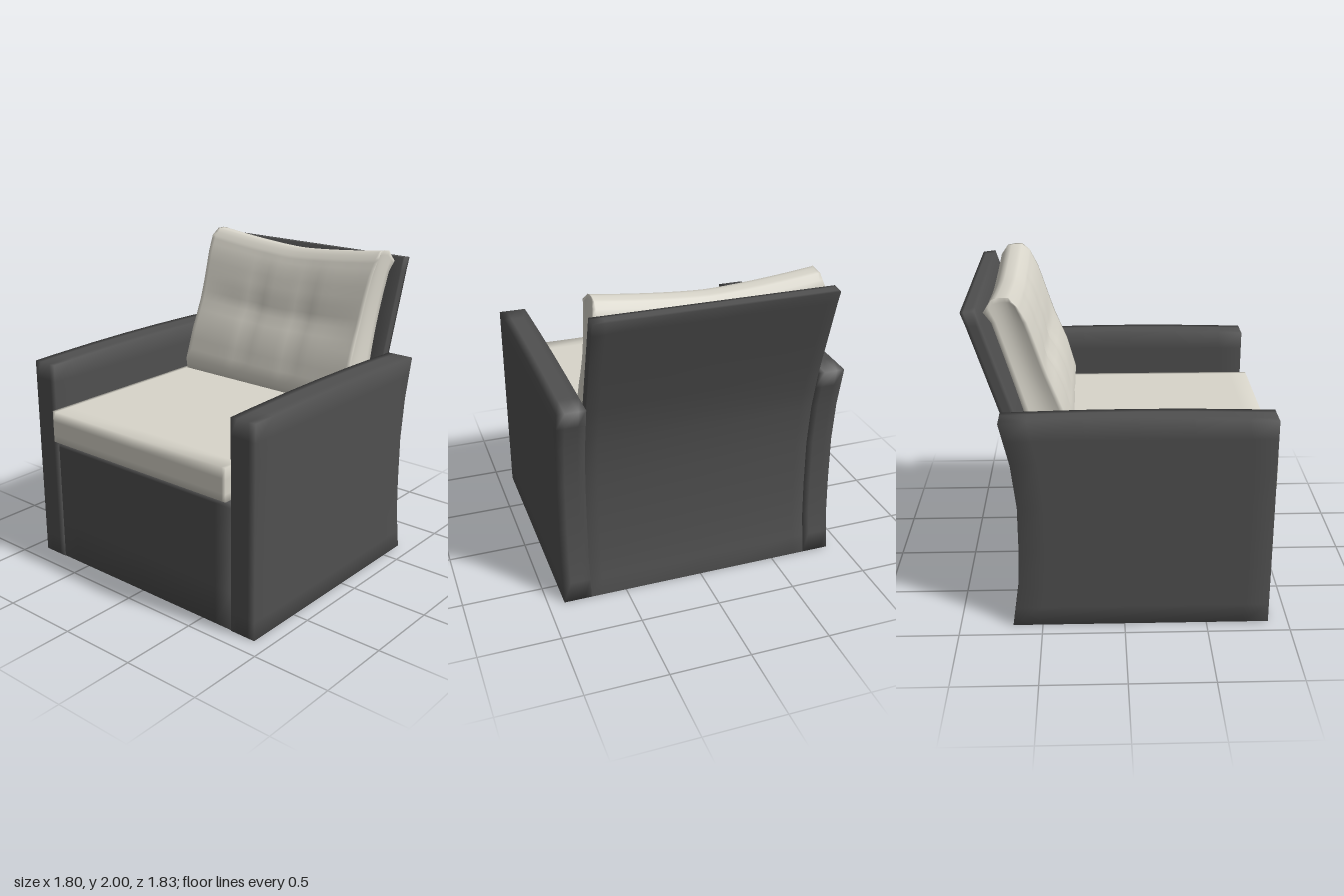
import * as THREE from 'three';
import { mergeVertices } from 'three/addons/utils/BufferGeometryUtils.js';

// Box with edge loops at the listed positions, reshaped by a rule, with soft shared normals
function softBox(xs, ys, zs, warp = (x, y, z) => [x, y, z]) {
  const n = [xs.length - 1, ys.length - 1, zs.length - 1];
  let geo = new THREE.BoxGeometry(n[0], n[1], n[2], n[0], n[1], n[2]);
  geo.deleteAttribute('normal');
  geo.deleteAttribute('uv');
  geo.clearGroups();
  const p = geo.attributes.position;
  for (let i = 0; i < p.count; i++) {
    const a = xs[Math.round(p.getX(i) + n[0] / 2)];
    const b = ys[Math.round(p.getY(i) + n[1] / 2)];
    const c = zs[Math.round(p.getZ(i) + n[2] / 2)];
    p.setXYZ(i, ...warp(a, b, c));
  }
  geo = mergeVertices(geo, 1e-5);
  geo.computeVertexNormals();
  return geo;
}

// Piecewise linear lookup through [key, value] points
function lookup(points, k) {
  for (let i = 1; i < points.length; i++) {
    const [k0, v0] = points[i - 1], [k1, v1] = points[i];
    if (k <= k1) return v0 + (v1 - v0) * (k - k0) / (k1 - k0);
  }
  return points[points.length - 1][1];
}

const steps = (a, b, n) => Array.from({ length: n + 1 }, (_, i) => a + (b - a) * i / n);

// Rear outline shared by the arms and the back: [height, z]
const rear = [[0, -0.68], [0.27, -0.64], [0.5, -0.63], [0.8, -0.63], [1.07, -0.66], [1.33, -0.72], [1.94, -0.915]];

export function createModel() {
  const group = new THREE.Group();
  const frameMat = new THREE.MeshStandardMaterial({ color: 0x505050 });
  frameMat.name = 'charcoalFabric';
  const cushionMat = new THREE.MeshStandardMaterial({ color: 0xd8d5ca });
  cushionMat.name = 'creamFabric';

  const add = (name, geo, mat) => {
    const mesh = new THREE.Mesh(geo, mat);
    mesh.name = name;
    group.add(mesh);
  };

  // Arms: upright slabs with a curved rear edge and slightly crowned top
  const armXs = [0.725, 0.77, 0.85, 0.9];
  const armWarp = (x, y, t) => {
    const z = lookup(rear, y) * (1 - t) + 0.88 * t;
    const crown = y > 1.3 ? 0.06 * t * (1 - t) : 0;
    return [x, y + crown, z];
  };
  const armYs = [0, 0.12, 0.27, 0.5, 0.8, 1.07, 1.22, 1.33];
  const armTs = [0, 0.1, 0.3, 0.5, 0.7, 0.9, 1];
  add('leftArm', softBox(armXs, armYs, armTs, armWarp), frameMat);
  add('rightArm', softBox(armXs.map((x) => -x).reverse(), armYs, armTs, armWarp), frameMat);

  // Base under the seat
  add('base', softBox([-0.725, -0.6, 0, 0.6, 0.725], [0, 0.25, 0.6, 0.78, 0.81],
    [-0.57, -0.4, 0.6, 0.875]), frameMat);

  // Back panel: thin, curved, leaning backwards
  add('backPanel', softBox([-0.725, -0.65, 0, 0.65, 0.725],
    [0, 0.12, 0.27, 0.5, 0.8, 1.07, 1.2, 1.33, 1.6, 1.85, 1.94], [0, 0.02, 0.06, 0.08],
    (x, y, d) => [x, y - (y > 1.9 ? 0.01 * (1 - d / 0.08) : 0), lookup(rear, y) + d]), frameMat);

  // Seat cushion
  add('seatCushion', softBox([-0.718, -0.69, 0, 0.69, 0.718], [0.832, 0.88, 0.97, 1.04],
    [-0.53, -0.45, 0.2, 0.8, 0.918]), cushionMat);

  // Back pillow: u across, v up, w from back to front
  const pillowFront = [[0, -0.315], [0.08, -0.298], [0.3, -0.355], [0.53, -0.445], [0.8, -0.53], [1, -0.60]];
  const topRound = [[0, -0.08], [0.25, -0.01], [0.5, 0], [0.75, 0], [1, -0.045]];
  const pillowWarp = (u, v, w) => {
    const height = 0.9 + 0.06 * Math.abs(u) ** 1.5;
    const y = 1.04 + v * height + lookup(topRound, w) * Math.max(0, (v - 0.85) / 0.15);
    const waist = 0.69 - 0.025 * Math.sin(Math.PI * v);
    const groove = Math.abs(u) === 1 ? 0.02 * Math.sin(Math.PI * w) : 0;
    const x = u * (waist - groove);
    // Tufting creases between the six soft panels
    const inside = Math.sin(Math.PI * v) * (1 - u ** 4);
    const crease = Math.exp(-(((Math.abs(u) - 0.3) / 0.08) ** 2)) * 0.015
      + Math.exp(-(((v - 0.53) / 0.06) ** 2)) * 0.018;
    const front = lookup(pillowFront, v) - crease * inside;
    const back = -0.50 - 0.29 * v;
    return [x, y, back + (front - back) * w];
  };
  const us = [-1, -0.96, ...steps(-0.9, 0.9, 18), 0.96, 1];
  const vs = [0, 0.04, 0.08, 0.15, ...steps(0.23, 0.85, 9), 0.92, 0.97, 1];
  add('backPillow', softBox(us, vs, steps(0, 1, 8), pillowWarp), cushionMat);

  return group;
}
